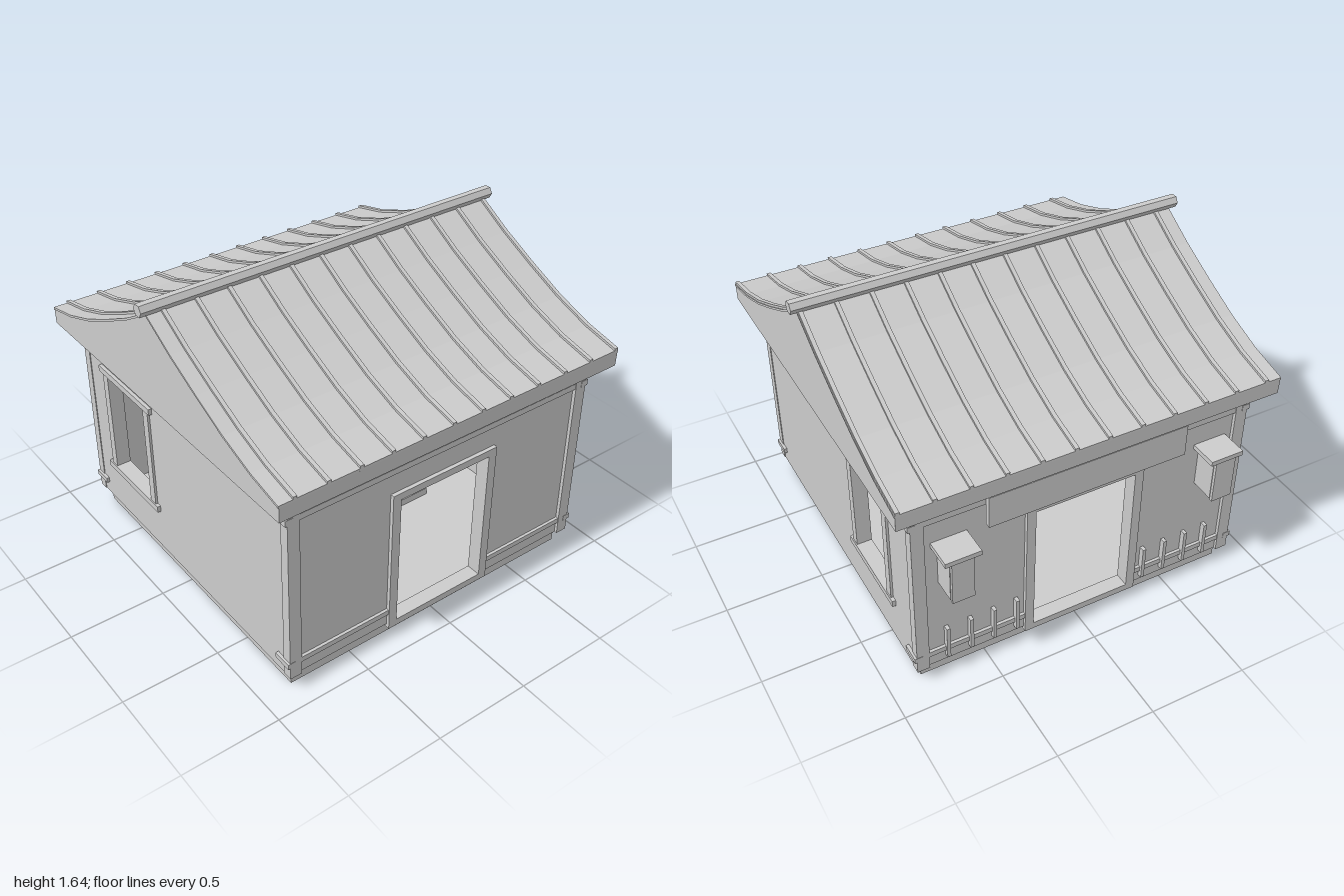
import * as THREE from 'three';

export function createModel() {
  const model = new THREE.Group();
  model.name = 'smallTiledHouse';
  const grey = new THREE.MeshStandardMaterial({ color: 0xcccccc });
  grey.name = 'plain grey';
  const CZ = 0.022; // middle of the house in z

  const add = (name, geometry) => {
    const mesh = new THREE.Mesh(geometry, grey);
    mesh.name = name;
    model.add(mesh);
    return mesh;
  };
  // Box given by its extents on each axis
  const box = (name, x0, x1, y0, y1, z0, z1) => {
    const g = new THREE.BoxGeometry(Math.abs(x1 - x0), y1 - y0, Math.abs(z1 - z0));
    g.translate((x0 + x1) / 2, (y0 + y1) / 2, (z0 + z1) / 2);
    return add(name, g);
  };
  const polygon = (points) => new THREE.Shape(points.map(([a, b]) => new THREE.Vector2(a, b)));
  // Profile drawn as (z, y) and extruded along x
  const alongX = (name, shape, x0, x1) => {
    const g = new THREE.ExtrudeGeometry(shape, { depth: x1 - x0, bevelEnabled: false });
    g.rotateY(-Math.PI / 2);
    g.translate(x1, 0, 0);
    return add(name, g);
  };
  const rectangle = (a0, a1, b0, b1) => [[a0, b0], [a1, b0], [a1, b1], [a0, b1]];

  // Plinth
  box('plinth', -0.832, 0.832, 0, 0.087, -0.81, 0.856);

  // Front and back: wall with doorway, door frame and tie beams
  for (const s of [1, -1]) {
    const side = s > 0 ? 'front' : 'back';
    const z = (d) => CZ + s * d;
    const outer = 0.885;
    const wall = polygon([
      [-0.81, 0.087], [-0.28, 0.087], [-0.28, 0.84], [0.28, 0.84],
      [0.28, 0.087], [0.81, 0.087], [0.81, 1.09], [-0.81, 1.09],
    ]);
    const g = new THREE.ExtrudeGeometry(wall, { depth: 0.05, bevelEnabled: false });
    g.translate(0, 0, s > 0 ? z(0.815) : z(0.865));
    add(side + 'Wall', g);

    for (const m of [1, -1]) {
      box(side + 'DoorJamb', m * 0.26, m * 0.306, 0.067, 0.857, z(0.81), z(outer));
      box(side + 'LowerBeam', m * 0.306, m * 0.81, 0.155, 0.183, z(0.85), z(0.88));
      box(side + 'BottomRail', m * 0.306, m * 0.81, 0.087, 0.155, z(0.85), z(0.868));
      box(side + 'CornerPost', m * 0.805, m * 0.868, 0.087, 1.09, z(0.833), z(0.883));
      // Beam ends poking out at the corners
      for (const [y0, y1] of [[0.155, 0.183], [0.972, 1.003], [1.055, 1.09]])
        box('beamEnd', m * 0.84, m * 0.88, y0, y1, z(0.787), z(outer));
    }
    box(side + 'DoorLintel', -0.26, 0.26, 0.82, 0.857, z(0.81), z(outer));
    box(side + 'DoorSill', -0.26, 0.26, 0.067, 0.103, z(0.81), z(outer));
    box(side + 'MiddleBeam', -0.81, 0.81, 0.972, 1.003, z(0.85), z(0.88));
    box(side + 'UpperBeam', -0.81, 0.81, 1.055, 1.09, z(0.85), z(0.88));
  }

  // Side walls with framed windows
  for (const m of [1, -1]) {
    const wz = m > 0 ? -0.397 : -0.447;
    const wall = polygon(rectangle(-0.811, 0.855, 0.087, 1.09));
    wall.holes.push(polygon(rectangle(wz - 0.2, wz + 0.2, 0.34, 0.92)));
    alongX('sideWall', wall, m > 0 ? 0.812 : -0.864, m > 0 ? 0.864 : -0.812);
    box('windowLintel', m * 0.8, m * 0.882, 0.905, 0.938, wz - 0.244, wz + 0.244);
    box('windowSill', m * 0.8, m * 0.882, 0.32, 0.355, wz - 0.244, wz + 0.244);
    for (const e of [1, -1])
      box('windowJamb', m * 0.8, m * 0.876, 0.355, 0.905, wz + e * 0.172, wz + e * 0.218);
  }

  // Roof: solid gable body, thin curved shell and raised ribs
  const slope = [[0, 1.592], [0.19, 1.48], [0.385, 1.382], [0.58, 1.292], [0.775, 1.222], [0.967, 1.178]];
  const lifted = (s, dy) => slope.map(([d, y]) => [CZ + s * d, y + dy]);
  const layer = (s, low, high) => polygon([...lifted(s, low), ...lifted(s, high).reverse()]);
  alongX('roofBody', polygon([
    [CZ - 0.965, 1.09], [CZ + 0.965, 1.09],
    ...lifted(1, -0.012).reverse(), ...lifted(-1, -0.012).slice(1),
  ]), -0.963, 0.963);
  for (const s of [1, -1]) {
    alongX('roofShell', layer(s, -0.012, 0), -0.966, 0.966);
    for (let i = 0; i < 12; i++) {
      const x = -0.885 + i * 0.167;
      alongX('roofRib', layer(s, -0.002, 0.012), x - 0.01, x + 0.01);
    }
  }
  const ridge = new THREE.CylinderGeometry(0.032, 0.032, 2, 6).toNonIndexed();
  ridge.computeVertexNormals();
  ridge.rotateZ(Math.PI / 2);
  ridge.translate(0, 1.614, CZ - 0.004);
  add('ridgePole', ridge);

  // Signboard, lanterns and railing sticks on the back
  box('signboard', -0.51, 0.51, 0.86, 1.03, -0.86, -0.888);
  for (const m of [1, -1]) {
    box('lanternCap', m * 0.595, m * 0.77, 0.825, 0.85, -0.84, -0.986);
    box('lanternBody', m * 0.625, m * 0.74, 0.6, 0.825, -0.84, -0.964);
    box('lanternFace', m * 0.628, m * 0.737, 0.59, 0.825, -0.964, -0.98);
    for (let i = 0; i < 4; i++) {
      const x = m * (0.35 + i * 0.12);
      box('railingStick', x - 0.009, x + 0.009, 0.12, 0.305, -0.84, -0.871);
    }
  }

  // Low table, cups, pot and cushions inside
  box('tableTop', 0.095, 0.55, 0.255, 0.29, -0.35, 0.03);
  for (const x of [0.147, 0.5])
    for (const z of [-0.3, -0.02])
      box('tableLeg', x - 0.018, x + 0.018, 0.087, 0.255, z - 0.018, z + 0.018);
  const vessel = (name, r, h, x, z) => {
    const g = new THREE.CylinderGeometry(r, r * 0.85, h, 8).toNonIndexed();
    g.computeVertexNormals();
    g.translate(x, 0.29 + h / 2, z);
    add(name, g);
  };
  vessel('cup', 0.02, 0.033, 0.215, -0.2);
  vessel('cup', 0.02, 0.033, 0.45, -0.2);
  vessel('teapot', 0.04, 0.06, 0.38, -0.1);
  box('cushion', 0.17, 0.48, 0.087, 0.125, -0.58, -0.38);
  box('cushion', 0.17, 0.48, 0.087, 0.125, 0.06, 0.26);

  return model;
}
